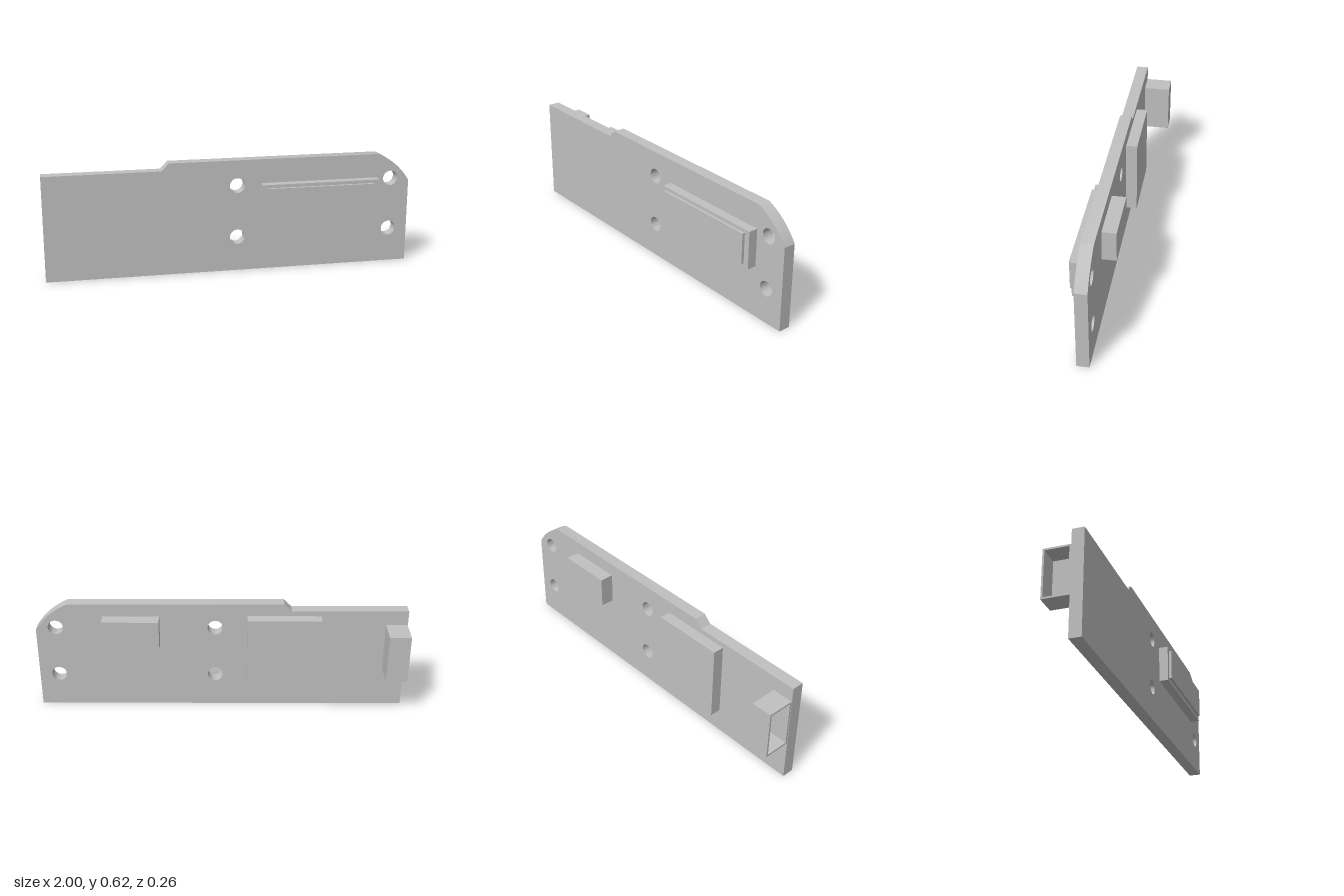
import * as THREE from 'three';
import { toCreasedNormals } from 'three/addons/utils/BufferGeometryUtils.js';

const BACK = 0.0025, FRONT = 0.0675; // board faces

export function createModel() {
  const model = new THREE.Group();
  model.name = 'circuitBoard';
  const grey = new THREE.MeshStandardMaterial({ color: 0xc0c0c0 });
  grey.name = 'plain grey';

  // box given by its limits along x, y and z
  const box = (name, x0, x1, y0, y1, z0, z1, parent = model) => {
    const mesh = new THREE.Mesh(new THREE.BoxGeometry(x1 - x0, y1 - y0, z1 - z0), grey);
    mesh.position.set((x0 + x1) / 2, (y0 + y1) / 2, (z0 + z1) / 2);
    mesh.name = name;
    parent.add(mesh);
  };

  // board with a stepped top edge, one rounded corner and four screw holes
  const outline = new THREE.Shape();
  outline.moveTo(-1, 0);
  outline.lineTo(0.999, 0);
  outline.lineTo(0.999, 0.462);
  outline.quadraticCurveTo(0.932, 0.568, 0.82, 0.616);
  outline.lineTo(-0.335, 0.616);
  outline.lineTo(-0.375, 0.575);
  outline.lineTo(-1, 0.575);
  outline.closePath();
  for (const x of [0.033, 0.893]) {
    for (const y of [0.19, 0.477]) {
      const hole = new THREE.Path();
      hole.absarc(x, y, 0.041, 0, Math.PI * 2, true);
      outline.holes.push(hole);
    }
  }
  const boardGeometry = new THREE.ExtrudeGeometry(outline, {
    depth: FRONT - BACK, bevelEnabled: false, curveSegments: 16,
  });
  boardGeometry.translate(0, 0, BACK);
  const board = new THREE.Mesh(toCreasedNormals(boardGeometry, 0.45), grey);
  board.name = 'board';
  model.add(board);

  // display on the front
  box('displayBase', 0.163, 0.814, 0.28, 0.485, FRONT, 0.118);
  box('displayPanel', 0.185, 0.783, 0.30, 0.467, 0.118, 0.133);

  // chips on the back
  box('largeChip', -0.535, -0.139, 0.133, 0.547, -0.058, BACK);
  box('smallChip', 0.332, 0.636, 0.378, 0.545, -0.072, BACK);

  // hollow socket, open at the end of the board
  const socket = new THREE.Group();
  socket.name = 'socket';
  model.add(socket);
  const x0 = -0.998, x1 = -0.883, y0 = 0.225, y1 = 0.495, z0 = -0.1435, t = 0.01;
  box('socketTop', x0, x1, y1 - t, y1, z0, BACK, socket);
  box('socketBottom', x0, x1, y0, y0 + t, z0, BACK, socket);
  box('socketBackWall', x0, x1, y0 + t, y1 - t, z0, z0 + t, socket);
  box('socketBoardWall', x0, x1, y0 + t, y1 - t, BACK - t, BACK, socket);
  box('socketEnd', x1 - t, x1, y0 + t, y1 - t, z0 + t, BACK - t, socket);

  // the whole board is turned by one degree
  model.rotation.y = Math.PI / 180;
  const root = new THREE.Group();
  root.name = 'model';
  root.add(model);
  return root;
}
